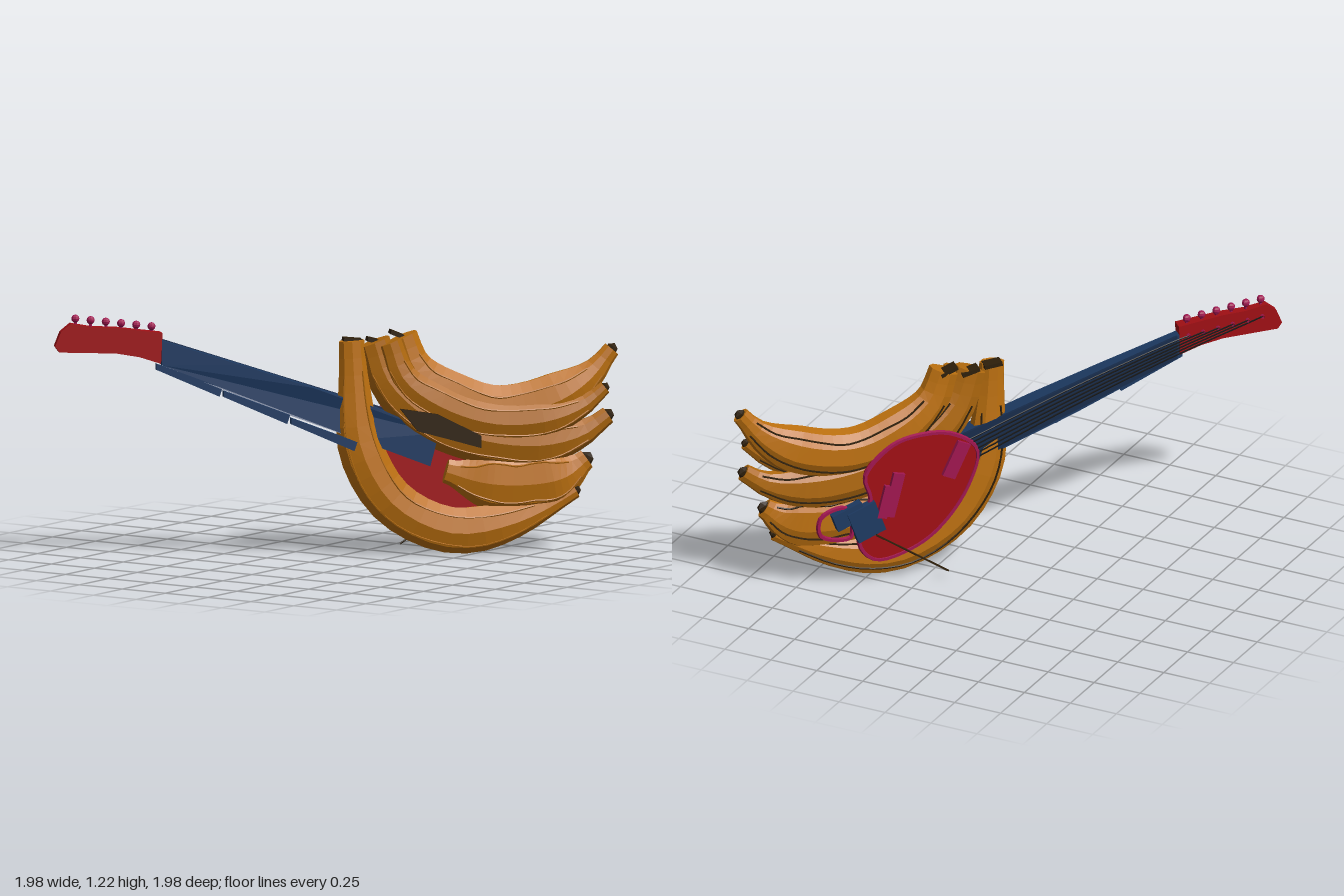
import * as THREE from 'three';

const K = Math.SQRT2;
const mat = color => new THREE.MeshStandardMaterial({ color, flatShading: true, side: THREE.DoubleSide });
const ORANGE = mat(0xbc700f), AMBER = mat(0xb0690e), BLUE = mat(0x1d3a62), NAVY = mat(0x172c4c),
  RED = mat(0xa00f14), PINK = mat(0xa01650), DARK = mat(0x2e1f0a), BLACK = mat(0x141414);

// x is measured along the diagonal axis (stretched by K), w is depth; playing side is -w
const P = (x, y, w) => new THREE.Vector3(x * K, y, w);

function add(parent, name, geo, material) {
  const m = new THREE.Mesh(geo, material);
  m.name = name;
  parent.add(m);
  return m;
}

function group(parent, name) {
  const g = new THREE.Group();
  g.name = name;
  parent.add(g);
  return g;
}

// Flat board with an outline in x, y and a depth range; the back depth may vary with x
function slab(parent, name, pts, w0, back, material, round = false) {
  let outline = pts.map(([x, y]) => new THREE.Vector2(x * K, y));
  if (round) {
    const c = new THREE.CatmullRomCurve3(pts.map(([x, y]) => P(x, y, 0)), true);
    outline = c.getPoints(40).slice(0, -1).map(p => new THREE.Vector2(p.x, p.y));
  }
  const geo = new THREE.ExtrudeGeometry(new THREE.Shape(outline), { depth: 1, bevelEnabled: false });
  const p = geo.attributes.position;
  for (let i = 0; i < p.count; i++) p.setZ(i, p.getZ(i) > 0.5 ? back(p.getX(i) / K) : w0);
  geo.computeVertexNormals();
  return add(parent, name, geo, material);
}

function rod(parent, name, pts, r, material, closed = false, seg = 24) {
  const c = new THREE.CatmullRomCurve3(pts, closed);
  return add(parent, name, new THREE.TubeGeometry(c, seg, r, 5, closed), material);
}

// Box centred at x, y, w, turned in the face plane
function block(parent, name, x, y, w, size, turn, material) {
  const m = add(parent, name, new THREE.BoxGeometry(...size), material);
  m.position.copy(P(x, y, w));
  m.rotation.z = turn;
}

// Faceted fruit swept along a curve: narrow stem, full belly, tapered tip
function banana(parent, name, pts, w, R, D, stem, material) {
  const g = group(parent, name);
  const curve = new THREE.CatmullRomCurve3(pts.map(([x, y]) => P(x, y, w)));
  const N = 22, M = 9, pos = [], idx = [];
  const surface = (t, a, grow = 1) => {
    const c = curve.getPointAt(t), T = curve.getTangentAt(t);
    const k = (stem + (1 - stem) * THREE.MathUtils.smoothstep(t, 0, 0.35)) *
      (1 - 0.66 * THREE.MathUtils.smoothstep(t, 0.7, 1)) * grow;
    const n = R * k * Math.cos(a);
    return new THREE.Vector3(c.x - T.y * n, c.y + T.x * n, c.z + D * k * Math.sin(a));
  };
  for (let i = -1; i <= N + 1; i++) {
    const t = THREE.MathUtils.clamp(i / N, 0, 1), cap = i < 0 || i > N ? 0 : 1;
    for (let j = 0; j < M; j++) pos.push(...surface(t, j / M * Math.PI * 2 + 0.25, cap).toArray());
  }
  for (let i = 0; i < N + 2; i++) for (let j = 0; j < M; j++) {
    const a = i * M + j, b = i * M + (j + 1) % M;
    idx.push(a, b, a + M, b, b + M, a + M);
  }
  const geo = new THREE.BufferGeometry();
  geo.setAttribute('position', new THREE.Float32BufferAttribute(pos, 3));
  geo.setIndex(idx);
  geo.computeVertexNormals();
  add(g, 'peel', geo, material);
  // Ridge strokes along the peel, darker on the playing side
  [0.95, 2.3, 4.1, 5.4].forEach((a, k) => {
    const line = [];
    for (let i = 0; i <= 8; i++) line.push(surface(0.08 + 0.02 * k + i * 0.1, a + 0.05 * Math.sin(i * 2 + k), 0.98));
    rod(g, 'ridge', line, 0.005, k < 2 ? AMBER : DARK);
  });
  // Dark blossom end
  const tip = add(g, 'tip', new THREE.IcosahedronGeometry(1, 0), DARK);
  tip.position.copy(curve.getPoint(1));
  tip.scale.set(R * 0.25, R * 0.25, D * 0.32);
}

export function createModel() {
  const root = new THREE.Group();
  root.name = 'bananaGuitar';
  const guitar = group(root, 'guitar');
  guitar.rotation.y = Math.PI / 4;

  // Body: a bunch of bananas
  const body = group(guitar, 'body');
  banana(body, 'upperBanana', [[0.22, 1.06], [0.265, 0.9], [0.38, 0.77], [0.54, 0.69], [0.73, 0.73],
    [0.87, 0.84], [0.95, 0.97]], 0, 0.125, 0.085, 0.62, ORANGE);
  banana(body, 'rearBanana', [[0.17, 1.04], [0.22, 0.86], [0.36, 0.72], [0.54, 0.64], [0.72, 0.65],
    [0.85, 0.71], [0.92, 0.79]], 0.045, 0.1, 0.07, 0.6, AMBER);
  banana(body, 'middleBanana', [[0.12, 1.04], [0.17, 0.85], [0.31, 0.67], [0.5, 0.56], [0.7, 0.53],
    [0.85, 0.57], [0.935, 0.65]], 0.015, 0.13, 0.085, 0.62, AMBER);
  banana(body, 'innerBanana', [[0.37, 0.4], [0.47, 0.36], [0.6, 0.34], [0.72, 0.35], [0.8, 0.38], [0.86, 0.44]],
    0.02, 0.15, 0.07, 0.4, ORANGE);
  banana(body, 'lowerBanana', [[0.04, 1.05], [0.05, 0.8], [0.07, 0.53], [0.18, 0.26], [0.38, 0.115],
    [0.6, 0.15], [0.73, 0.22], [0.82, 0.29]], 0.03, 0.115, 0.08, 0.55, ORANGE);

  // Stem ends and shaded crease on the back
  [[0.045, 1.05, 0.01], [0.13, 1.04, -0.01], [0.21, 1.065, -0.02]].forEach(([x, y, w], i) =>
    block(body, 'stemEnd', x, y, w, [0.09, 0.02, 0.06], -0.1 - 0.15 * i, DARK));
  slab(body, 'crease', [[0.2, 0.72], [0.33, 0.69], [0.48, 0.58], [0.48, 0.52], [0.36, 0.57], [0.26, 0.61]],
    0.09, () => 0.118, DARK);

  // Neck: board deepening towards the body, with a fretboard
  const neck = group(guitar, 'neck');
  slab(neck, 'neckBoard', [[-0.62, 1.075], [-0.35, 0.95], [-0.1, 0.83], [0.1, 0.735], [0.34, 0.59], [0.31, 0.43],
    [0.06, 0.57], [-0.25, 0.735], [-0.62, 0.955]],
  -0.02, x => Math.min(0.065, 0.03 + (x + 0.62) * 0.07), BLUE);
  slab(neck, 'fretboard', [[-0.61, 1.075], [0.18, 0.7], [0.16, 0.53], [-0.61, 0.955]], -0.035, () => -0.02, NAVY);
  // Staggered strips along the lower back edge
  [[0.02, 0.04], [0.045, 0.078], [0.07, 0.11]].forEach(([w0, w1], i) => {
    const x = -0.64 + 0.23 * i, y = 0.935 - 0.137 * i;
    slab(neck, 'lowerStrip', [[x, y + 0.03], [x + 0.23, y - 0.097], [x + 0.22, y - 0.14], [x, y]], w0, () => w1, BLUE);
  });

  // Headstock with six tuning pegs
  const head = group(guitar, 'headstock');
  slab(head, 'headBoard', [[-0.62, 1.115], [-0.625, 0.965], [-0.7, 1.0], [-0.78, 1.02], [-0.975, 1.03], [-0.99, 1.06],
    [-0.97, 1.13], [-0.935, 1.17], [-0.86, 1.15], [-0.78, 1.145]], -0.015, x => 0.05 + 0.08 * (x + 0.61), RED);
  for (let i = 0; i < 6; i++) {
    const x = -0.918 + 0.053 * i, y = 1.192 - 0.0095 * i;
    rod(head, 'pegShaft', [P(x, y - 0.07, 0.008), P(x, y, 0.008)], 0.008, PINK, false, 2);
    const knob = add(head, 'pegKnob', new THREE.SphereGeometry(0.02, 8, 6), PINK);
    knob.position.copy(P(x, y, 0.008));
    rod(head, 'tuningPost', [P(x, y - 0.08, 0), P(x, y - 0.08, -0.03)], 0.01, PINK, false, 2);
    // String from post over the nut to the neck pickup
    const k = i / 5 - 0.5;
    rod(neck, 'string', [P(x, y - 0.08, -0.024), P(-0.6, 1.015 + k * 0.08, -0.04),
      P(-0.25, 0.845 + k * 0.1, -0.046), P(0.17, 0.625 + k * 0.12, -0.07)], 0.004, BLACK);
  }

  // Face tilts slightly forward towards the tail
  const face = group(guitar, 'face');
  face.rotation.y = 0.07;

  // Pickguard with a raised rim
  const guard = [[0.43, 0.74], [0.32, 0.77], [0.21, 0.745], [0.12, 0.64], [0.15, 0.46], [0.24, 0.28],
    [0.34, 0.18], [0.49, 0.14], [0.55, 0.23], [0.54, 0.36], [0.51, 0.47], [0.53, 0.6]];
  slab(face, 'pickguard', guard, -0.06, () => -0.025, RED, true);
  rod(face, 'pickguardRim', guard.map(([x, y]) => P(x, y, -0.055)), 0.012, PINK, true, 60);

  // Pickups, bridge and tail frame
  block(face, 'neckPickup', 0.2, 0.61, -0.065, [0.07, 0.19, 0.03], 0.45, PINK);
  block(face, 'bridgePickup', 0.43, 0.48, -0.065, [0.06, 0.23, 0.03], 0.25, PINK);
  block(face, 'bridgePickup', 0.46, 0.45, -0.065, [0.05, 0.17, 0.03], 0.25, PINK);
  block(face, 'bridge', 0.53, 0.36, -0.06, [0.15, 0.17, 0.04], -0.35, BLUE);
  block(face, 'tailBlock', 0.59, 0.4, -0.05, [0.16, 0.09, 0.04], -0.35, BLUE);
  const frame = [[0.58, 0.28], [0.69, 0.31], [0.69, 0.41], [0.6, 0.44]];
  rod(face, 'tailFrame', frame.map(([x, y]) => P(x, y, -0.045)), 0.012, PINK, true);
  // Tremolo arm
  rod(face, 'tremoloArm', [P(0.5, 0.29, -0.09), P(0.235, 0.03, -0.095)], 0.005, DARK, false, 2);
  return root;
}
